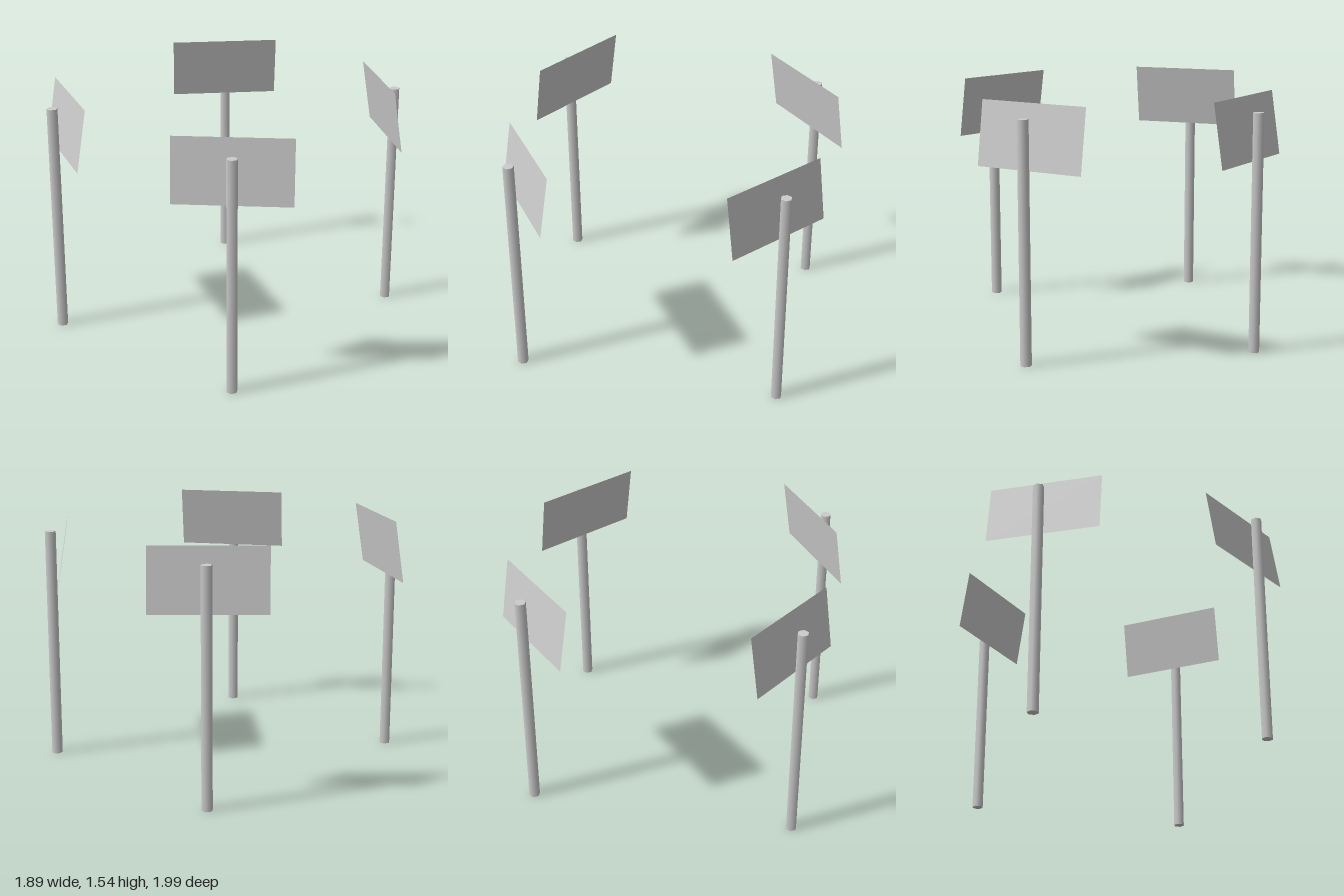
import * as THREE from 'three';

const POST_HEIGHT = 1.45;
const POST_RADIUS = 0.034;
const PANEL_TILT = THREE.MathUtils.degToRad(9);

// One sign per corner: post position, panel centre and outward heading in degrees
const SIGNS = [
  { name: 'frontLeftSign', post: [0.697, 0.832], panel: [0.639, 1.338, 0.757], heading: 35 },
  { name: 'frontRightSign', post: [-0.681, 0.852], panel: [-0.631, 1.346, 0.79], heading: -30 },
  { name: 'backLeftSign', post: [0.697, -0.79], panel: [0.645, 1.337, -0.733], heading: 140 },
  { name: 'backRightSign', post: [-0.681, -0.79], panel: [-0.635, 1.345, -0.73], heading: -135 },
];

export function createModel() {
  const model = new THREE.Group();
  model.name = 'cornerSigns';

  const postMaterial = new THREE.MeshStandardMaterial({ color: 0xcccccc });
  const panelMaterial = new THREE.MeshStandardMaterial({ color: 0xcccccc, side: THREE.DoubleSide });

  // Six-sided post with corners pointing along x
  const postGeometry = new THREE.CylinderGeometry(POST_RADIUS, POST_RADIUS, POST_HEIGHT, 6);
  postGeometry.rotateY(Math.PI / 6);
  postGeometry.translate(0, POST_HEIGHT / 2, 0);

  // Thin panel whose top leans in towards the centre
  const panelGeometry = new THREE.PlaneGeometry(0.695, 0.389);

  for (const { name, post, panel, heading } of SIGNS) {
    const sign = new THREE.Group();
    sign.name = name;

    const postMesh = new THREE.Mesh(postGeometry, postMaterial);
    postMesh.name = 'post';
    postMesh.position.set(post[0], 0, post[1]);

    const panelMesh = new THREE.Mesh(panelGeometry, panelMaterial);
    panelMesh.name = 'panel';
    panelMesh.position.set(...panel);
    panelMesh.rotation.set(-PANEL_TILT, THREE.MathUtils.degToRad(heading), 0, 'YXZ');

    sign.add(postMesh, panelMesh);
    model.add(sign);
  }
  return model;
}
